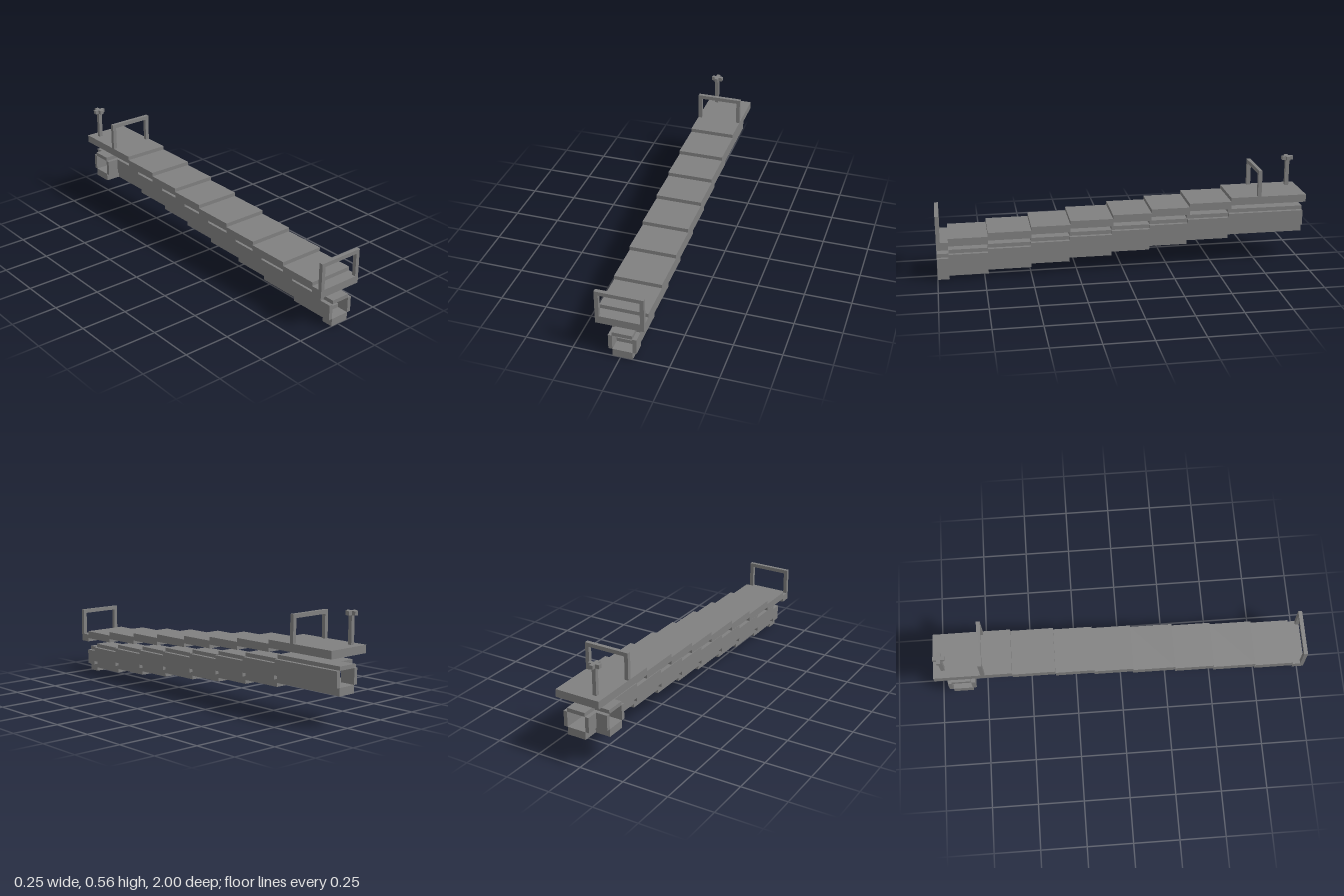
import * as THREE from 'three';

const U = 1 / 48; // one block unit

export function createModel() {
  const root = new THREE.Group();
  root.name = 'steppedWalkway';
  const grey = new THREE.MeshStandardMaterial({ color: 0x808080 });
  grey.name = 'plain grey';

  // Box from min/max corners in block units: x from the left edge of the deck,
  // y from the ground, z as the distance back from the front end.
  function box(parent, name, x0, x1, y0, y1, d0, d1) {
    const geo = new THREE.BoxGeometry((x1 - x0) * U, (y1 - y0) * U, (d1 - d0) * U);
    const mesh = new THREE.Mesh(geo, grey);
    mesh.name = name;
    mesh.position.set(((x0 + x1) / 2 - 6) * U, ((y0 + y1) / 2) * U, (48 - (d0 + d1) / 2) * U);
    parent.add(mesh);
  }

  function group(name) {
    const g = new THREE.Group();
    g.name = name;
    root.add(g);
    return g;
  }

  // Deck and hollow duct, rising one unit per section
  const deck = group('deck');
  const duct = group('duct');
  const cuts = [0, 3, 13, 24, 34, 45, 55, 65, 76, 96];
  for (let i = 0; i < 9; i++) {
    const a = cuts[i], b = cuts[i + 1];
    box(deck, 'deckSlab', 0, 12, 9 + i, 11 + i, a, b);
    box(duct, 'ductFloor', 4, 9, i, i + 2, a, b);
    box(duct, 'ductRoof', 4, 9, i + 6, i + 7, a, b);
    box(duct, 'ductLeftWall', 9, 10, i + 2, i + 6, a, b);
    if (i < 8) {
      box(duct, 'ductRightWall', 3, 4, i + 2, i + 6, a, b);
    } else {
      // Opening for the side branch
      box(duct, 'ductRightWall', 3, 4, 10, 14, a, 87);
      box(duct, 'ductRightWall', 3, 4, 10, 14, 92, b);
    }
  }

  // Short side branch near the rear
  const branch = group('sideBranch');
  box(branch, 'branchFloor', 0, 4, 8, 10, 87, 92);
  box(branch, 'branchRoof', 0, 4, 14, 15, 87, 92);
  box(branch, 'branchFrontWall', 0, 3, 10, 14, 86, 87);
  box(branch, 'branchRearWall', 0, 3, 10, 14, 92, 93);

  // Hoop-shaped gates
  function gate(name, y0, y1, d) {
    const g = group(name);
    box(g, 'gatePost', 0, 1, y0, y1 - 1, d, d + 1);
    box(g, 'gatePost', 11, 12, y0, y1 - 1, d, d + 1);
    box(g, 'gateBar', 0, 12, y1 - 1, y1, d, d + 1);
  }
  gate('frontGate', 11, 18, 0);
  gate('rearGate', 19, 26, 83);

  // Post with a cross-shaped handle
  const valve = group('handlePost');
  box(valve, 'post', 2, 3, 19, 26, 93, 94);
  box(valve, 'handleBar', 1, 4, 26, 27, 93, 94);
  box(valve, 'handleArm', 2, 3, 26, 27, 92, 93);
  box(valve, 'handleArm', 2, 3, 26, 27, 94, 95);

  return root;
}
